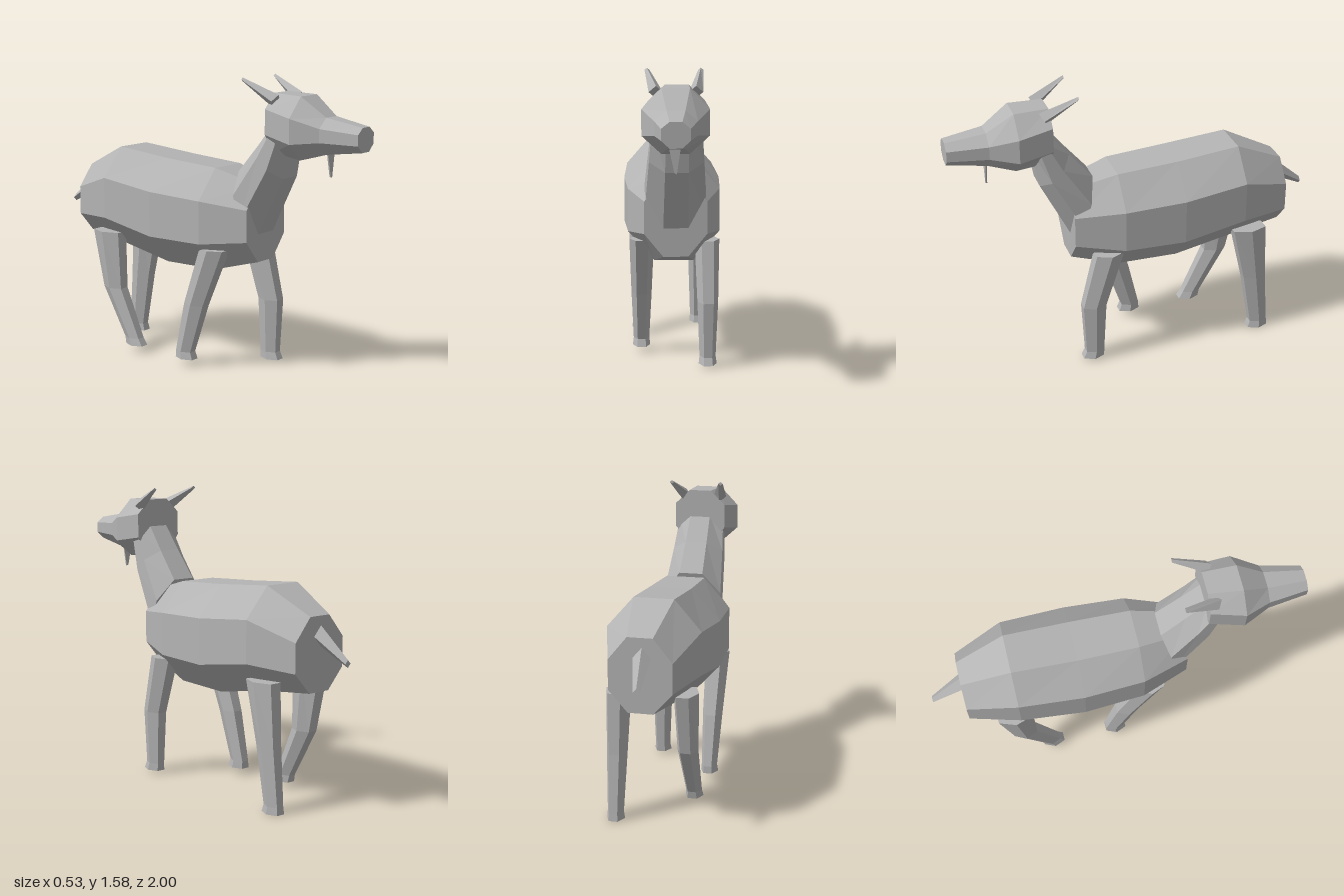
import * as THREE from 'three';

const coat = new THREE.MeshStandardMaterial({ color: 0xb4b4b4, flatShading: true });
coat.name = 'greyCoat';

// Skin a list of rings (each [[x,y,z], ...]); the first ring runs counter-clockwise seen from its open end.
function loft(name, rings) {
  const pos = [];
  const n = rings[0].length;
  const tri = (a, b, c) => pos.push(...a, ...b, ...c);
  for (let r = 0; r < rings.length - 1; r++) {
    const a = rings[r], b = rings[r + 1];
    for (let i = 0; i < n; i++) {
      const j = (i + 1) % n;
      tri(a[i], b[i], b[j]);
      tri(a[i], b[j], a[j]);
    }
  }
  const first = rings[0], last = rings[rings.length - 1];
  for (let i = 1; i < n - 1; i++) {
    tri(first[0], first[i], first[i + 1]);
    tri(last[0], last[i + 1], last[i]);
  }
  const geo = new THREE.BufferGeometry();
  geo.setAttribute('position', new THREE.Float32BufferAttribute(pos, 3));
  geo.computeVertexNormals();
  const mesh = new THREE.Mesh(geo, coat);
  mesh.name = name;
  return mesh;
}

// Eight-sided ring: half width, half width of the flat top, and [y, z] of its four levels from top to bottom
function octagon(w, flat, levels, cx = 0) {
  const [t, u, l, b] = levels;
  return [[flat, t], [-flat, t], [-w, u], [-w, l], [-flat, b], [flat, b], [w, l], [w, u]]
    .map(([x, [y, z]]) => [cx + x, y, z]);
}

// Upright octagon ring at depth z
const upright = (z, w, flat, ys, cx) => octagon(w, flat, ys.map(y => [y, z]), cx);

// Sloping octagon ring between a back point and a front point, each [y, z]
function sloping(w, flat, back, front) {
  const levels = [0, 0.32, 0.7, 1].map(t => [
    back[0] + (front[0] - back[0]) * t,
    back[1] + (front[1] - back[1]) * t,
  ]);
  return octagon(w, flat, levels);
}

// Six-sided level ring for the legs
function hexagon(x, y, z, rx, halfDepth) {
  return Array.from({ length: 6 }, (_, i) => {
    const a = i * Math.PI / 3;
    return [x + rx * Math.cos(a), y, z - halfDepth * Math.sin(a) / Math.sin(Math.PI / 3)];
  });
}

// Leg from hip to hoof; zs are the depths at hip, knee, ankle and sole
function leg(name, side, zs, hipDepth, ground) {
  const x = 0.173 * side;
  return loft(name, [
    hexagon(x, 0.67, zs[0], 0.066, hipDepth),
    hexagon(x, 0.35, zs[1], 0.055, 0.064),
    hexagon(x, ground + 0.04, zs[2], 0.043, 0.05),
    hexagon(x, ground, zs[3], 0.048, 0.058),
  ]);
}

// Four-sided tapering spike; ends are { p, sx, sy } with half sizes along x and y
function spike(name, root, tip) {
  const ring = ({ p: [x, y, z], sx, sy, slant = 0 }) => [
    [x, y + sy, z - slant], [x - sx, y, z], [x, y - sy, z + slant], [x + sx, y, z],
  ];
  return loft(name, [ring(root), ring(tip)]);
}

export function createModel() {
  const model = new THREE.Group();
  model.name = 'goat';

  // Barrel-shaped body, chest to rump
  model.add(loft('body', [
    upright(0.375, 0.163, 0.065, [1.02, 0.9, 0.73, 0.61]),
    upright(0.12, 0.245, 0.105, [1.09, 0.93, 0.7, 0.54]),
    upright(-0.21, 0.263, 0.11, [1.11, 0.945, 0.7, 0.535]),
    upright(-0.56, 0.245, 0.105, [1.14, 0.98, 0.755, 0.6]),
    upright(-0.83, 0.163, 0.065, [1.01, 0.89, 0.735, 0.625]),
  ]));

  // Neck, listed from the head down to the shoulders
  model.add(loft('neck', [
    sloping(0.125, 0.055, [1.37, 0.48], [1.28, 0.57]),
    sloping(0.14, 0.06, [1.23, 0.37], [1.07, 0.53]),
    sloping(0.16, 0.065, [1.08, 0.245], [0.73, 0.36]),
  ]));

  // Head, muzzle to nape, turned slightly to the right
  model.add(loft('head', [
    upright(1.0, 0.07, 0.03, [1.372, 1.34, 1.285, 1.248], -0.025),
    upright(0.79, 0.105, 0.045, [1.405, 1.355, 1.285, 1.22], -0.016),
    upright(0.65, 0.168, 0.07, [1.502, 1.4, 1.27, 1.18], -0.012),
    upright(0.47, 0.14, 0.06, [1.507, 1.43, 1.3, 1.2], 0),
  ]));

  // Backswept horns
  for (const [name, s] of [['leftHorn', 1], ['rightHorn', -1]]) {
    model.add(spike(name,
      { p: [0.1 * s - 0.005, 1.472, 0.51], sx: 0.036, sy: 0.032, slant: -0.02 },
      { p: [0.137 * s - 0.008, 1.572, 0.332], sx: 0.013, sy: 0.01 }));
  }

  // Thin beard under the chin
  const beardShape = new THREE.Shape(
    [[-0.052, 1.235], [-0.024, 1.105], [-0.012, 1.1], [0.008, 1.235]].map(([x, y]) => new THREE.Vector2(x, y)));
  const beard = new THREE.Mesh(
    new THREE.ExtrudeGeometry(beardShape, { depth: 0.008, bevelEnabled: false }), coat);
  beard.name = 'beard';
  beard.position.z = 0.79;
  model.add(beard);

  // Drooping tail
  model.add(spike('tail',
    { p: [-0.008, 0.915, -0.82], sx: 0.048, sy: 0.055 },
    { p: [-0.028, 0.79, -1.0], sx: 0.018, sy: 0.02 }));

  // Legs in mid-stride
  model.add(
    leg('leftFrontLeg', 1, [0.195, 0.285, 0.285, 0.295], 0.076, 0.015),
    leg('rightFrontLeg', -1, [0.17, 0.045, -0.033, -0.026], 0.076, 0.035),
    leg('leftBackLeg', 1, [-0.608, -0.652, -0.692, -0.688], 0.093, 0),
    leg('rightBackLeg', -1, [-0.59, -0.55, -0.412, -0.395], 0.093, 0.04),
  );

  return model;
}
